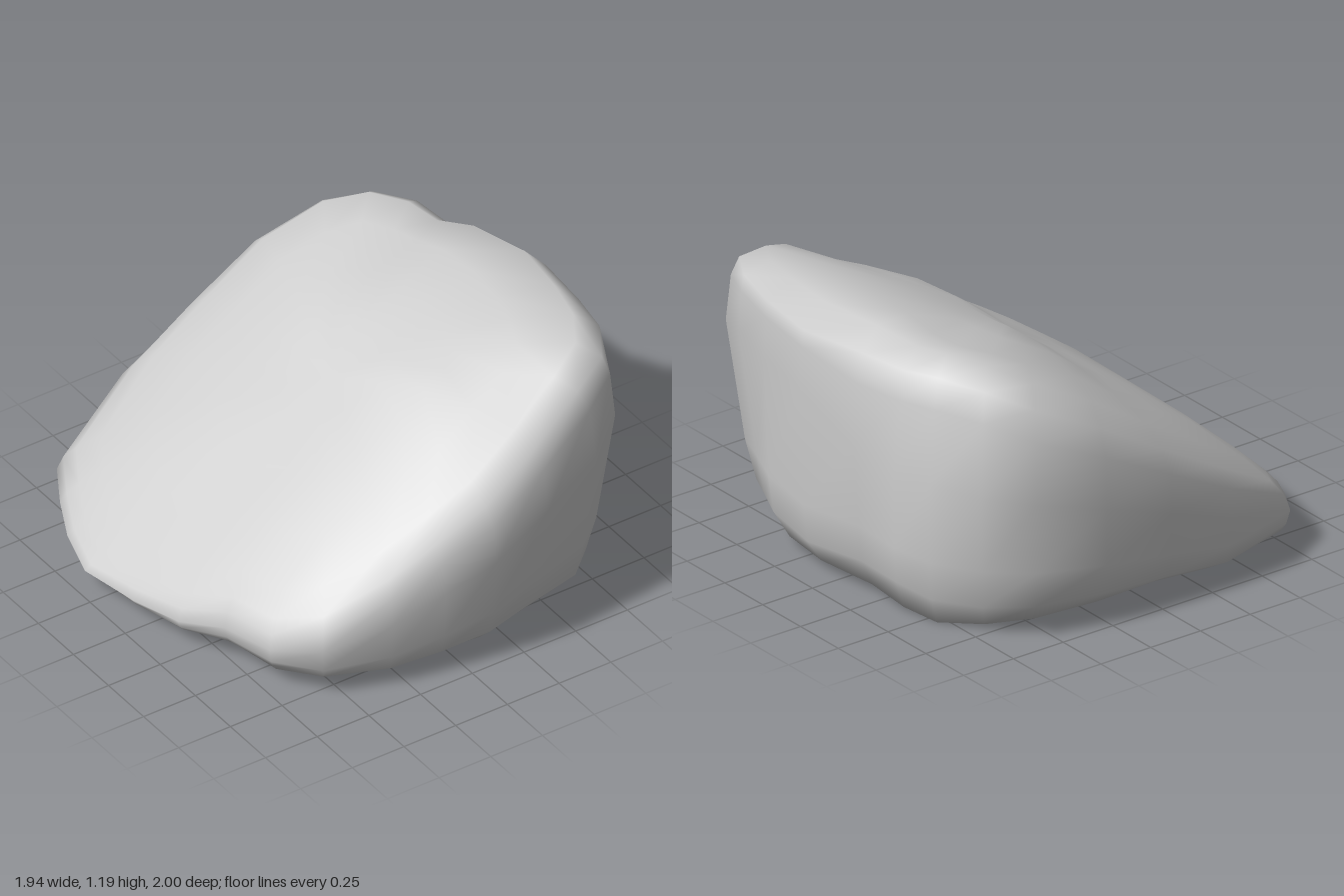
import * as THREE from 'three';

// plan outline [x, z], running from +x through the back (-z) and round to the front
const OUTLINE = [
  [0.97, 0.12], [0.95, -0.2], [0.92, -0.42], [0.88, -0.61], [0.77, -0.81], [0.58, -0.93], [0.28, -1],
  [-0.05, -1], [-0.36, -0.98], [-0.74, -0.87], [-0.84, -0.7], [-0.92, -0.53], [-0.97, -0.33],
  [-0.93, -0.05], [-0.88, 0.2], [-0.79, 0.4], [-0.74, 0.65], [-0.6, 0.82], [-0.33, 0.92],
  [-0.1, 0.96], [0.12, 1], [0.4, 0.955], [0.66, 0.91], [0.82, 0.81], [0.9, 0.62], [0.94, 0.4],
];

// slope of the upper face [x, y], from the thin edge to the crest
const SLOPE = [
  [-0.97, 0.11], [-0.8, 0.27], [-0.6, 0.45], [-0.5, 0.54], [-0.2, 0.75],
  [-0.05, 0.84], [0.15, 0.99], [0.55, 1.16], [0.72, 1.2], [0.86, 1.2], [0.97, 1.13],
];

const { clamp, lerp, smoothstep } = THREE.MathUtils;
const bump = (v, centre, width) => Math.exp(-(((v - centre) / width) ** 2));

function topHeight(x, z) {
  let i = 0;
  while (i < SLOPE.length - 2 && x > SLOPE[i + 1][0]) i++;
  const [x0, y0] = SLOPE[i], [x1, y1] = SLOPE[i + 1];
  const y = y0 + (y1 - y0) * clamp((x - x0) / (x1 - x0), 0, 1);
  // the face rounds off toward front and back, less so near the crest
  const crest = smoothstep(x, 0.3, 0.7);
  const drop = lerp(z > 0 ? 0.22 : 0.15, z > 0 ? 0.07 : 0.15, crest) * clamp((x + 1) * 2.2, 0, 1);
  const dip = 0.06 * crest * bump(z, -0.35, 0.17);
  return Math.max(0.11, y - drop * Math.abs(z) ** 3 - dip);
}

// underside: slightly arched, resting on two low spots toward the back
function baseHeight(x, z) {
  const side = smoothstep(Math.abs(x - 0.15), 0.1, 0.65);
  return 0.075 - side * (0.025 + 0.045 * bump(z, -0.55, 0.3)) + 0.03 * smoothstep(-x, 0.66, 0.9);
}

// rings from the underside to the upper face: plan scale and height rule
const RINGS = [
  { s: 0.45, base: true },
  { s: 0.9, base: true },
  { s: 0.965, up: 0.06 },
  { s: 0.985, up: 0.22 },
  { s: 1, up: 0.54 },
  { s: 0.975, up: 0.82 },
  { s: 0.93, up: 0.93 },
  { s: 0.84, up: 1 },
  { s: 0.65, up: 1 },
  { s: 0.42, up: 1 },
  { s: 0.2, up: 1 },
];

function createRockGeometry() {
  const n = OUTLINE.length;
  const pos = [], index = [];
  RINGS.forEach(({ s, up = 0, base }) => {
    OUTLINE.forEach(([ox, oz], i) => {
      let k = s;
      // the tall end stays steep at the front and leans in toward the back
      const wall = clamp((ox - 0.75) * 6, 0, 1) * smoothstep(oz, -0.35, 0.1);
      const lean = smoothstep(ox, 0.5, 0.8) * smoothstep(-oz, 0.1, 0.45);
      if (up > 0.6 && s > 0.8) k += Math.max(0, 0.995 - s) * wall * (s > 0.9 ? 0.85 : 0.3) - 0.045 * lean;
      else if (up > 0.5 && s > 0.9) k -= 0.015 * lean;
      // the back stands nearly upright
      if (s > 0.95) k += (1 - k) * 0.6 * smoothstep(-oz, 0.85, 0.97);
      // the front corner is cut in near the ground
      const corner = bump(ox, 0.8, 0.25) * bump(oz, 0.8, 0.25);
      if (up < 0.4) k -= corner * lerp(0.08, 0.03, up / 0.4);
      // shallow lobes weathered into the lower sides
      if (up < 0.4) k -= 0.025 * Math.max(0, Math.sin(i * 1.9)) * clamp(ox + 0.8, 0, 1);
      const x = ox * k, z = oz * k;
      const h = topHeight(x, z);
      let y = baseHeight(x, z);
      if (!base) {
        const low = 0.085 + 0.02 * Math.sin(i * 1.3);
        // shoulders sit higher along the front and the steep end
        const lift = 0.2 * smoothstep(oz, 0.4, 0.9) + 0.4 * wall;
        const t = up > 0.5 ? up + (1 - up) * Math.min(lift, 0.45) : up;
        y = low + (h - low) * t;
      }
      pos.push(x, y, z);
    });
  });
  const bottom = pos.length / 3, top = bottom + 1;
  pos.push(0, 0.075, 0, 0, topHeight(0, 0) - 0.01, 0);

  const last = (RINGS.length - 1) * n;
  for (let i = 0; i < n; i++) {
    const j = (i + 1) % n;
    index.push(bottom, j, i, top, last + i, last + j);
    for (let r = 0; r < last; r += n) {
      index.push(r + i, r + j, r + n + j, r + i, r + n + j, r + n + i);
    }
  }
  const geo = new THREE.BufferGeometry();
  geo.setAttribute('position', new THREE.Float32BufferAttribute(pos, 3));
  geo.setIndex(index);
  geo.computeVertexNormals();
  return geo;
}

export function createModel() {
  const group = new THREE.Group();
  group.name = 'wedgeRock';
  const rock = new THREE.Mesh(createRockGeometry(), new THREE.MeshStandardMaterial({ color: 0xcccccc }));
  rock.name = 'rock';
  group.add(rock);
  return group;
}
